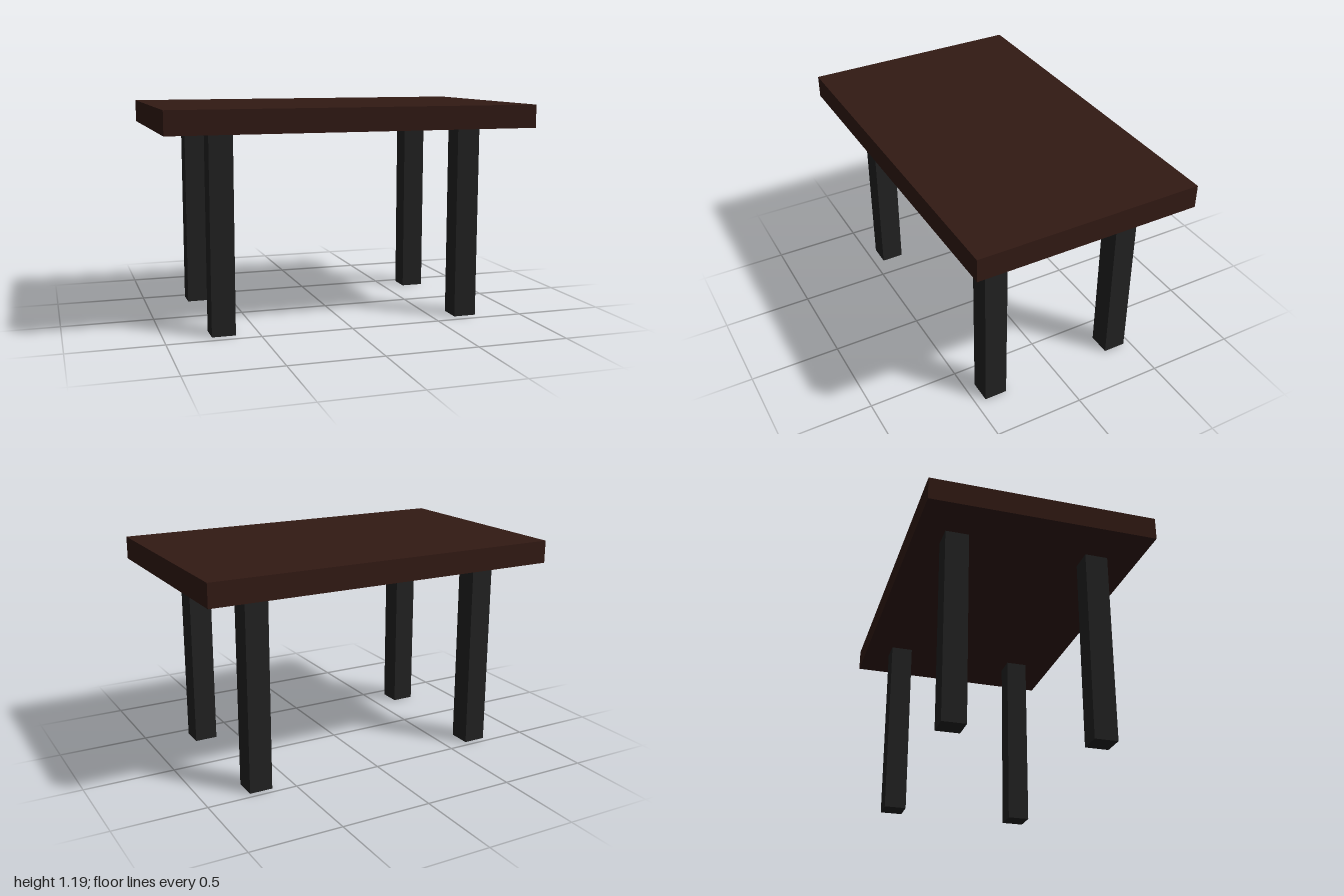
import * as THREE from 'three';

export function createModel() {
  const table = new THREE.Group();
  table.name = 'table';

  const wood = new THREE.MeshStandardMaterial({ color: 0x321a14 });
  const black = new THREE.MeshStandardMaterial({ color: 0x222222 });

  const legHeight = 1.065, legWidth = 0.127;
  const topThickness = 0.125;

  // Thick rectangular slab
  const top = new THREE.Mesh(new THREE.BoxGeometry(2, topThickness, 1.23), wood);
  top.name = 'tableTop';
  top.position.y = legHeight + topThickness / 2;
  table.add(top);

  // Four square legs, the set placed slightly towards the back
  const legGeometry = new THREE.BoxGeometry(legWidth, legHeight, legWidth);
  for (const [end, z] of [['front', 0.377], ['back', -0.4]]) {
    for (const [side, x] of [['Left', 0.688], ['Right', -0.69]]) {
      const leg = new THREE.Mesh(legGeometry, black);
      leg.name = `${end}${side}Leg`;
      leg.position.set(x, legHeight / 2, z);
      table.add(leg);
    }
  }

  return table;
}
